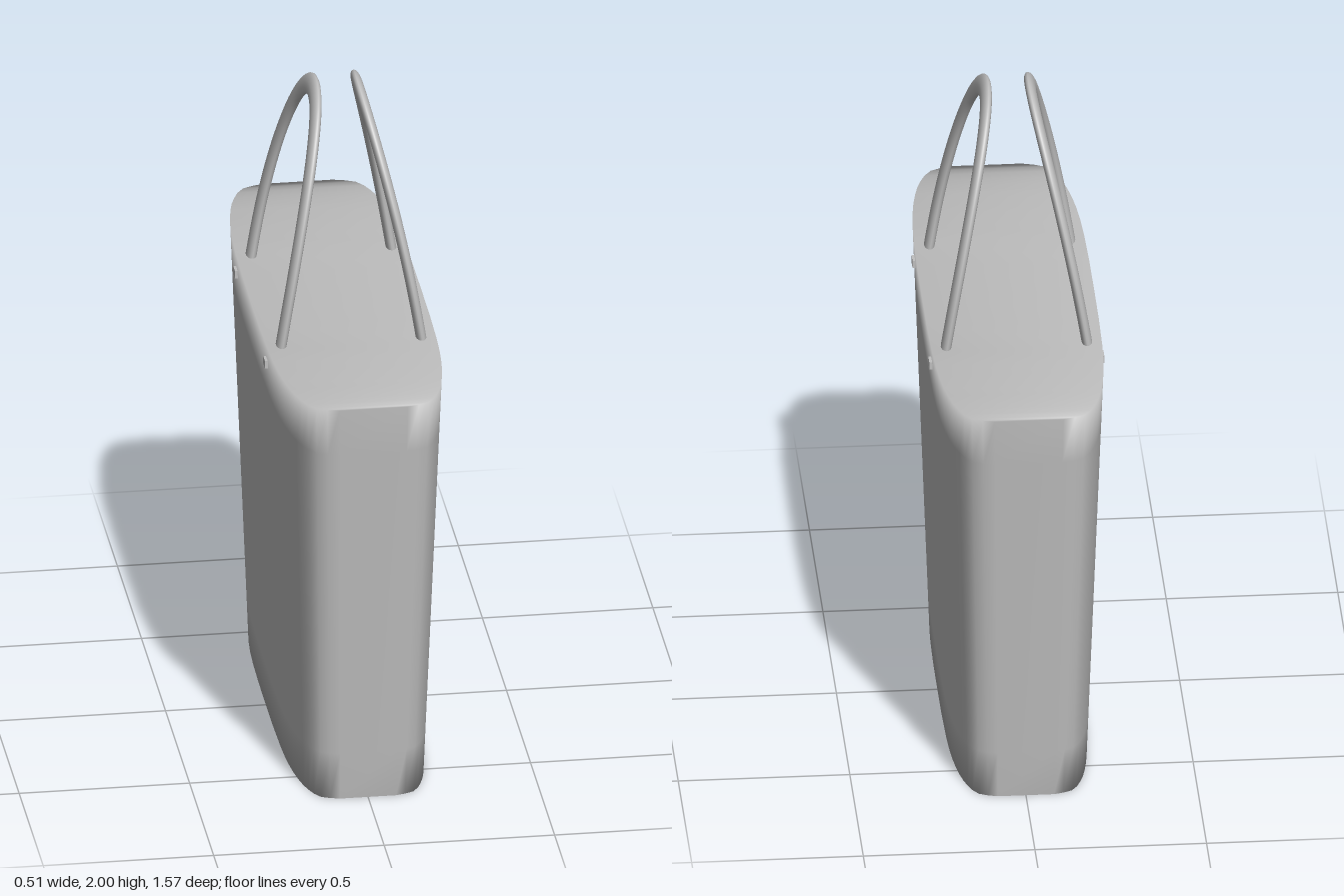
import * as THREE from 'three';
import { mergeVertices } from 'three/addons/utils/BufferGeometryUtils.js';

// Plan of the rim, one quarter: half width x and distance z from the middle
const QUARTER = [[0.1, 0.785], [0.165, 0.762], [0.2, 0.7], [0.222, 0.62], [0.239, 0.5], [0.248, 0.34]];

// Tapered body lofted through level rings, closed above and below, with soft shared normals
function bodyGeometry() {
  const half = [...QUARTER, [0.251, 0], ...[...QUARTER].reverse().map(([x, z]) => [x, -z])];
  const curve = new THREE.CatmullRomCurve3(half.map(([x, z]) => new THREE.Vector3(x, 0, z)));
  const n = 24;
  const side = Array.from({ length: n + 1 }, (_, i) => curve.getPoint(i / n));
  const ring = [...side, ...[...side].reverse().map(p => new THREE.Vector3(-p.x, 0, p.z))];
  const count = ring.length;
  const levels = [0, 0.15, 0.65, 1.15, 1.3];
  const positions = [], index = [];
  for (const y of levels) {
    const t = y / 1.3;
    const sx = THREE.MathUtils.lerp(0.82, 1, t), sz = THREE.MathUtils.lerp(0.848, 1, t);
    for (const p of ring) positions.push(p.x * sx, y, p.z * sz);
  }
  // Walls
  for (let j = 0; j < levels.length - 1; j++) {
    for (let i = 0; i < count; i++) {
      const a = j * count + i, b = j * count + (i + 1) % count;
      index.push(a, b, b + count, a, b + count, a + count);
    }
  }
  // Top and base, in strips running from side to side
  const top = (levels.length - 1) * count;
  for (let i = 0; i < n; i++) {
    const r0 = i, r1 = i + 1, l0 = count - 1 - i, l1 = count - 2 - i;
    index.push(top + r0, top + r1, top + l1, top + r0, top + l1, top + l0);
    index.push(r0, l1, r1, r0, l0, l1);
  }
  const geometry = new THREE.BufferGeometry();
  geometry.setAttribute('position', new THREE.Float32BufferAttribute(positions, 3));
  geometry.setIndex(index);
  geometry.computeVertexNormals();
  return geometry;
}

// Arched handle: flattened tube that leans inwards as it rises
function handleGeometry() {
  const points = [new THREE.Vector3(0, 1.28, 0.312)];
  for (let i = 0; i <= 16; i++) {
    const a = Math.PI * i / 16;
    points.push(new THREE.Vector3(0, 1.36 + 0.609 * Math.sin(a), 0.312 * Math.cos(a)));
  }
  points.push(new THREE.Vector3(0, 1.28, -0.312));
  let geometry = new THREE.TubeGeometry(new THREE.CatmullRomCurve3(points), 64, 0.031, 16);
  const pos = geometry.attributes.position;
  for (let i = 0; i < pos.count; i++) {
    const t = (pos.getY(i) - 1.3) / 0.7;
    pos.setX(i, pos.getX(i) * 0.5 + 0.205 - 0.11 * t - 0.037 * t * t);
  }
  geometry.deleteAttribute('uv');
  geometry.deleteAttribute('normal');
  geometry = mergeVertices(geometry);
  geometry.computeVertexNormals();
  return geometry;
}

export function createModel() {
  const grey = new THREE.MeshStandardMaterial({ color: 0xbfbfbf });
  grey.name = 'light grey';

  const model = new THREE.Group();
  model.name = 'toteBag';
  const add = (name, geometry, parent = model) => {
    const mesh = new THREE.Mesh(geometry, grey);
    mesh.name = name;
    parent.add(mesh);
    return mesh;
  };

  add('bagBody', bodyGeometry());

  // A handle and its two studs on each broad side
  const handle = handleGeometry();
  const stud = new THREE.BoxGeometry(0.03, 0.024, 0.036);
  for (const sideName of ['left', 'right']) {
    const group = new THREE.Group();
    group.name = sideName + 'HandleSet';
    if (sideName === 'right') group.rotation.y = Math.PI;
    add(sideName + 'Handle', handle, group);
    for (const s of [-1, 1]) {
      add(sideName + 'Stud', stud, group).position.set(0.24, 1.246, s * 0.311);
    }
    model.add(group);
  }
  return model;
}
